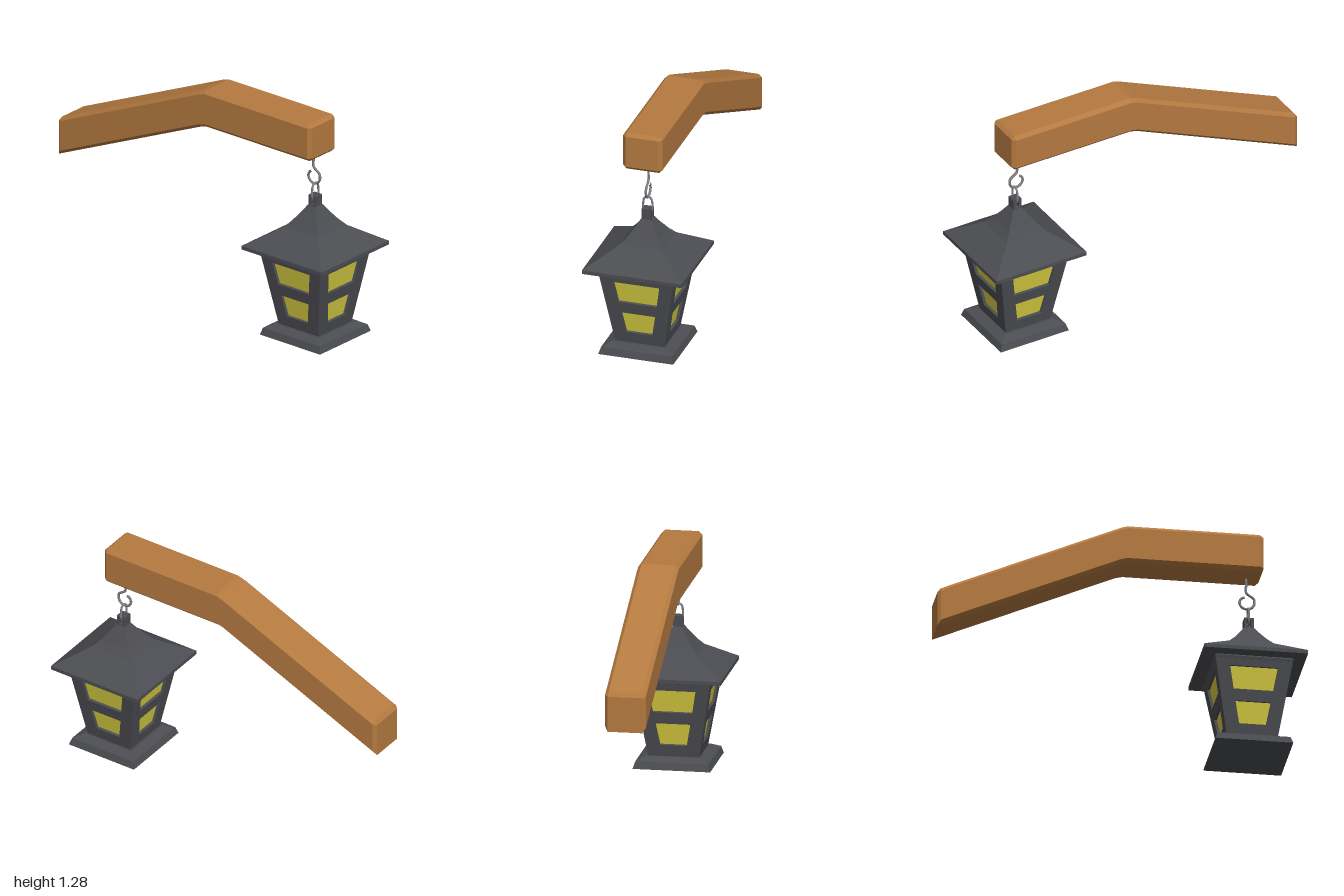
import * as THREE from 'three';

const paint = (color, flatShading = true) => new THREE.MeshStandardMaterial({ color, flatShading });
const wood = paint(0xb57a40);
const iron = paint(0x4c4d52);
const glass = paint(0xd6cb40);
const steel = paint(0x808186, false);

function add(parent, name, geometry, material) {
  const mesh = new THREE.Mesh(geometry, material);
  mesh.name = name;
  parent.add(mesh);
  return mesh;
}

// Closed four-sided solid from a list of [half width, height], bottom to top
function squareStack(profile) {
  const pts = [[0, profile[0][1]], ...profile, [0, profile[profile.length - 1][1]]];
  return new THREE.LatheGeometry(pts.map(([h, y]) => new THREE.Vector2(h * Math.SQRT2, y)), 4, Math.PI / 4);
}

// Chamfered beam skinned over stations of [z, top, bottom, half width, chamfer]
function beamGeometry(stations) {
  const pos = [], index = [];
  for (const [z, t, b, w, c] of stations) {
    const ring = [[w, b + c], [w, t - c], [w - c, t], [c - w, t], [-w, t - c], [-w, b + c], [c - w, b], [w - c, b]];
    for (const [x, y] of ring) pos.push(x, y, z);
  }
  const last = (stations.length - 1) * 8;
  for (let s = 0; s < last; s += 8) {
    for (let j = 0; j < 8; j++) {
      const a = s + j, b = s + (j + 1) % 8;
      index.push(a, a + 8, b, b, a + 8, b + 8);
    }
  }
  for (let j = 1; j < 7; j++) {
    index.push(0, j, j + 1, last, last + j + 1, last + j);
  }
  const g = new THREE.BufferGeometry();
  g.setAttribute('position', new THREE.Float32BufferAttribute(pos, 3));
  g.setIndex(index);
  g.computeVertexNormals();
  return g;
}

// Symmetric trapezoid from bottom half width / height to top half width / height
function trapezoid(path, b, y0, t, y1) {
  path.moveTo(-b, y0);
  path.lineTo(b, y0);
  path.lineTo(t, y1);
  path.lineTo(-t, y1);
  path.closePath();
  return path;
}

function wire(points, radius, closed = false) {
  const curve = new THREE.CatmullRomCurve3(points.map(p => new THREE.Vector3(...p)), closed);
  return new THREE.TubeGeometry(curve, 64, radius, 8, closed);
}

export function createModel() {
  const model = new THREE.Group();
  model.name = 'hangingLantern';

  // Bent wooden arm
  const arm = add(model, 'woodenArm', beamGeometry([
    [0.785, 1.257, 1.077, 0.092, 0.001],
    [0.765, 1.276, 1.058, 0.112, 0.02],
    [0.04, 1.276, 1.058, 0.112, 0.02],
    [0, 1.263, 1.048, 0.112, 0.02],
    [-0.982, 0.832, 0.617, 0.112, 0.02],
    [-1, 0.806, 0.61, 0.096, 0.001],
  ]), wood);
  arm.position.x = -0.0125;

  // Hook hanging under the arm
  add(model, 'hook', wire([
    [0, 1.07, 0.705], [0, 1.02, 0.705], [0, 0.975, 0.706], [0, 0.958, 0.725], [0, 0.942, 0.746],
    [0, 0.912, 0.75], [0, 0.885, 0.733], [0, 0.878, 0.71], [0, 0.885, 0.685],
    [0, 0.912, 0.669], [0, 0.938, 0.678], [0, 0.947, 0.695],
  ], 0.007), steel);

  const lantern = new THREE.Group();
  lantern.name = 'lantern';
  lantern.position.z = 0.717;
  model.add(lantern);

  // Link joining hook and roof eye
  add(lantern, 'link', wire([
    [0, 0.882, 0], [0.02, 0.87, 0], [0.026, 0.84, 0], [0.024, 0.802, 0], [0, 0.782, 0],
    [-0.024, 0.802, 0], [-0.026, 0.84, 0], [-0.02, 0.87, 0],
  ], 0.006, true), steel);

  // Pierced block on top of the roof
  const eyeShape = trapezoid(new THREE.Shape(), 0.026, 0.745, 0.026, 0.815);
  eyeShape.holes.push(trapezoid(new THREE.Path(), 0.011, 0.763, 0.011, 0.803));
  const eye = add(lantern, 'roofEye', new THREE.ExtrudeGeometry(eyeShape, { depth: 0.054, bevelEnabled: false }), iron);
  eye.rotation.y = Math.PI / 2;
  eye.position.x = -0.027;

  // Roof, collar under it and stepped base
  add(lantern, 'roof', squareStack([
    [0.283, 0.505], [0.283, 0.526], [0.122, 0.628], [0.088, 0.667], [0.052, 0.718], [0.028, 0.756],
  ]), iron);
  add(lantern, 'collar', squareStack([[0.212, 0.482], [0.216, 0.497], [0.208, 0.506]]), iron);
  add(lantern, 'base', squareStack([[0.213, 0], [0.2, 0.04], [0.155, 0.061]]), iron);

  // Glowing core seen through the windows
  add(lantern, 'glass', squareStack([[0.124, 0.06], [0.197, 0.495]]), glass);

  // Four leaning walls, each with two windows
  const tilt = Math.atan2(0.073, 0.435);
  const up = y => (y - 0.06) / Math.cos(tilt);
  const wallShape = trapezoid(new THREE.Shape(), 0.14, 0, 0.213, up(0.495));
  wallShape.holes.push(
    trapezoid(new THREE.Path(), 0.109, up(0.315), 0.131, up(0.443)),
    trapezoid(new THREE.Path(), 0.074, up(0.125), 0.097, up(0.25)),
  );
  const wallGeometry = new THREE.ExtrudeGeometry(wallShape, { depth: 0.018, bevelEnabled: false });
  wallGeometry.translate(0, 0, -0.018).rotateX(tilt).translate(0, 0.06, 0.14);
  for (let i = 0; i < 4; i++) {
    add(lantern, 'wall', wallGeometry, iron).rotation.y = i * Math.PI / 2;
  }

  return model;
}
